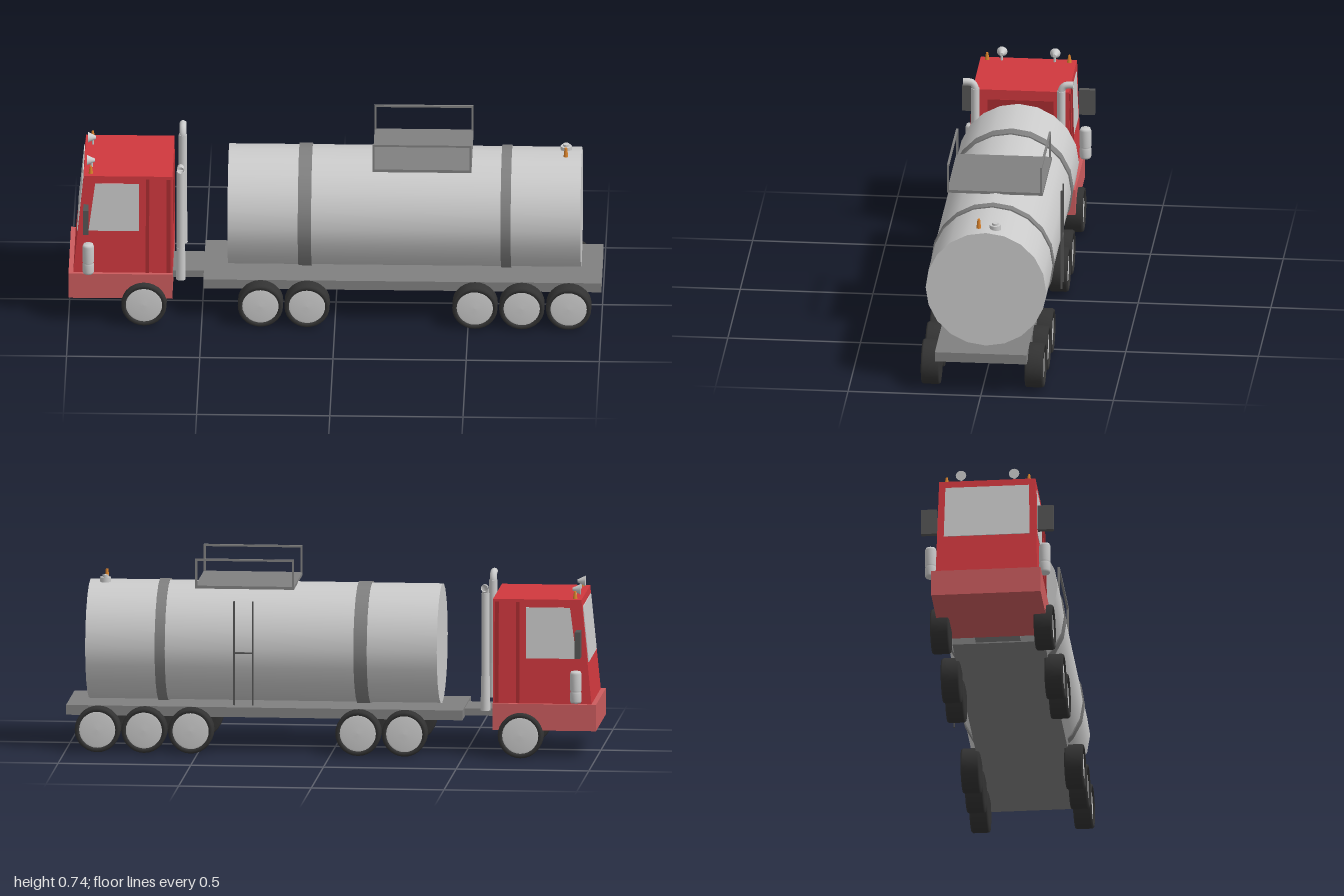
import * as THREE from 'three';

const mat = (color, extra = {}) => new THREE.MeshStandardMaterial({ color, ...extra });
const GREY = mat(0xcccccc);
const RED = mat(0xd0383e);
const DARK_RED = mat(0xa82c30);
const BUMPER = mat(0xcc5c5e);
const STEEL = mat(0x808080);
const DARK = mat(0x555555);
const TYRE = mat(0x333333);
const ORANGE = mat(0xd9822b);

export function createModel() {
  const model = new THREE.Group();
  model.name = 'tankTruck';

  const add = (name, geometry, material, x = 0, y = 0, z = 0) => {
    const mesh = new THREE.Mesh(geometry, material);
    mesh.name = name;
    mesh.position.set(x, y, z);
    model.add(mesh);
    return mesh;
  };
  // Box given by its min and max corners
  const box = (name, material, [x0, x1], [y0, y1], [z0, z1]) =>
    add(name, new THREE.BoxGeometry(x1 - x0, y1 - y0, z1 - z0), material,
      (x0 + x1) / 2, (y0 + y1) / 2, (z0 + z1) / 2);
  // Cylinder lying along x
  const drumX = (name, material, radius, x0, x1, y, z) =>
    add(name, new THREE.CylinderGeometry(radius, radius, x1 - x0, 20).rotateZ(Math.PI / 2),
      material, (x0 + x1) / 2, y, z);
  // Side profile swept across the cab; the flanks lean in toward the roof
  const cabSlice = (name, material, points, halfWidth) => {
    const shape = new THREE.Shape(points.map(([x, y]) => new THREE.Vector2(x, y)));
    const geometry = new THREE.ExtrudeGeometry(shape, { depth: 2, bevelEnabled: false });
    geometry.translate(0, 0, -1);
    const p = geometry.attributes.position;
    for (let i = 0; i < p.count; i++) {
      const lean = 1 - 0.05 * (p.getY(i) - 0.205) / 0.395;
      p.setZ(i, p.getZ(i) * halfWidth * lean);
    }
    geometry.computeVertexNormals();
    return add(name, geometry, material);
  };

  // Cab shell, bumper and glass
  const half = 0.191;
  box('bumper', BUMPER, [-1, -0.61], [0.104, 0.204], [-0.206, 0.206]);
  cabSlice('cab', RED, [[-0.982, 0.204], [-0.61, 0.204], [-0.61, 0.598], [-0.943, 0.598]], half);
  cabSlice('sideWindows', GREY, [[-0.925, 0.375], [-0.735, 0.375], [-0.735, 0.568], [-0.9, 0.568]], half + 0.002);
  const frontX = y => -0.982 + 0.039 * (y - 0.204) / 0.394;
  cabSlice('windshield', GREY, [
    [frontX(0.36) - 0.003, 0.36], [frontX(0.36) + 0.01, 0.36],
    [frontX(0.57) + 0.01, 0.57], [frontX(0.57) - 0.003, 0.57],
  ], 0.165);
  cabSlice('rearPanel', DARK_RED, [[-0.62, 0.38], [-0.607, 0.38], [-0.607, 0.56], [-0.62, 0.56]], 0.13);
  // Raised ribs behind the doors
  for (const [x0, x1] of [[-0.71, -0.697], [-0.632, -0.617]]) {
    cabSlice('sideRib', DARK_RED, [[x0, 0.206], [x1, 0.206], [x1, 0.588], [x0, 0.588]], half + 0.005);
  }

  for (const s of [1, -1]) {
    // Mirrors and side canisters
    box('mirror', DARK, [-0.944, -0.924], [0.385, 0.485], [s * 0.22 - 0.03, s * 0.22 + 0.03]);
    const canister = [[0, 0.212], [0.019, 0.212], [0.022, 0.22], [0.022, 0.25], [0.02, 0.252],
      [0.02, 0.258], [0.022, 0.26], [0.022, 0.322], [0.018, 0.332], [0, 0.332]];
    add('sideCanister', new THREE.LatheGeometry(canister.map(p => new THREE.Vector2(...p)), 16),
      GREY, -0.925, 0, s * 0.215);

    // Exhaust stack with an outward elbow
    const z = s * 0.162 + 0.006;
    add('exhaustBase', new THREE.CylinderGeometry(0.0165, 0.0185, 0.13, 16), GREY, -0.579, 0.235, z);
    add('exhaustPipe', new THREE.CylinderGeometry(0.0155, 0.0155, 0.32, 16), GREY, -0.579, 0.455, z);
    const bend = new THREE.CatmullRomCurve3([[0.6, 0], [0.62, 0.001], [0.636, 0.012], [0.64, 0.028], [0.64, 0.046]]
      .map(([y, dz]) => new THREE.Vector3(-0.579, y, z + s * dz)));
    add('exhaustElbow', new THREE.TubeGeometry(bend, 16, 0.0135, 12),
      mat(0xcccccc, { side: THREE.DoubleSide }));

    // Roof lamps and horns
    add('roofLamp', new THREE.CylinderGeometry(0.004, 0.009, 0.03, 10), ORANGE, -0.917, 0.612, s * 0.155);
    add('hornPost', new THREE.CylinderGeometry(0.004, 0.004, 0.025, 8), GREY, -0.915, 0.607, s * 0.1);
    add('horn', new THREE.CylinderGeometry(0.006, 0.02, 0.03, 16).rotateZ(-Math.PI / 2),
      GREY, -0.918, 0.626, s * 0.1);
  }

  // Chassis
  box('hitch', STEEL, [-0.66, -0.48], [0.138, 0.165], [-0.085, 0.085]);
  box('trailerDeck', STEEL, [-0.494, 1], [0.133, 0.17], [-0.173, 0.173]);

  // Wheels: tyre with a recessed, slightly domed hub
  const tyreProfile = [[0, -0.036], [0.06, -0.036], [0.081, -0.034], [0.085, -0.028],
    [0.085, 0.028], [0.081, 0.035], [0.07, 0.036], [0.068, 0.026]];
  const hubProfile = [[0.07, 0.027], [0.062, 0.029], [0.03, 0.031], [0, 0.032]];
  const spin = points => new THREE.LatheGeometry(points.map(p => new THREE.Vector2(...p)), 28).rotateX(Math.PI / 2);
  for (const x of [-0.716, -0.279, -0.104, 0.526, 0.702, 0.878]) {
    for (const s of [1, -1]) {
      const wheel = new THREE.Group();
      wheel.name = 'wheel';
      const tyre = new THREE.Mesh(spin(tyreProfile), TYRE);
      tyre.name = 'tyre';
      const hub = new THREE.Mesh(spin(hubProfile), GREY);
      hub.name = 'hub';
      wheel.add(tyre, hub);
      wheel.position.set(x, 0.085, s * 0.195);
      wheel.rotation.y = s > 0 ? 0 : Math.PI;
      model.add(wheel);
    }
  }

  // Tank with bands
  const tankY = 0.4, tankZ = -0.012;
  drumX('tank', GREY, 0.227, -0.403, 0.922, tankY, tankZ);
  drumX('tankBand', STEEL, 0.232, -0.139, -0.089, tankY, tankZ);
  drumX('tankBand', STEEL, 0.232, 0.622, 0.66, tankY, tankZ);

  // Walkway with a rail on each long side
  box('walkway', STEEL, [0.14, 0.512], [0.622, 0.633], [-0.188, 0.172]);
  for (const z of [-0.181, 0.169]) {
    box('railTop', STEEL, [0.14, 0.512], [0.727, 0.735], [z - 0.004, z + 0.004]);
    for (const x of [0.144, 0.508]) {
      box('railPost', STEEL, [x - 0.004, x + 0.004], [0.63, 0.73], [z - 0.004, z + 0.004]);
    }
  }

  // Ladder on the right flank
  for (const x of [0.29, 0.36]) {
    box('ladderRail', DARK, [x - 0.003, x + 0.003], [0.19, 0.585], [-0.248, -0.242]);
  }
  box('ladderRung', DARK, [0.29, 0.36], [0.385, 0.391], [-0.248, -0.242]);

  // Filler hatch and beacon at the tail
  add('hatchNeck', new THREE.CylinderGeometry(0.021, 0.021, 0.02, 16), GREY, 0.863, 0.628, -0.042);
  add('hatchCap', new THREE.CylinderGeometry(0.012, 0.012, 0.012, 16), GREY, 0.863, 0.64, -0.042);
  add('beacon', new THREE.CylinderGeometry(0.005, 0.009, 0.036, 10), ORANGE, 0.863, 0.641, 0.02);

  return model;
}
